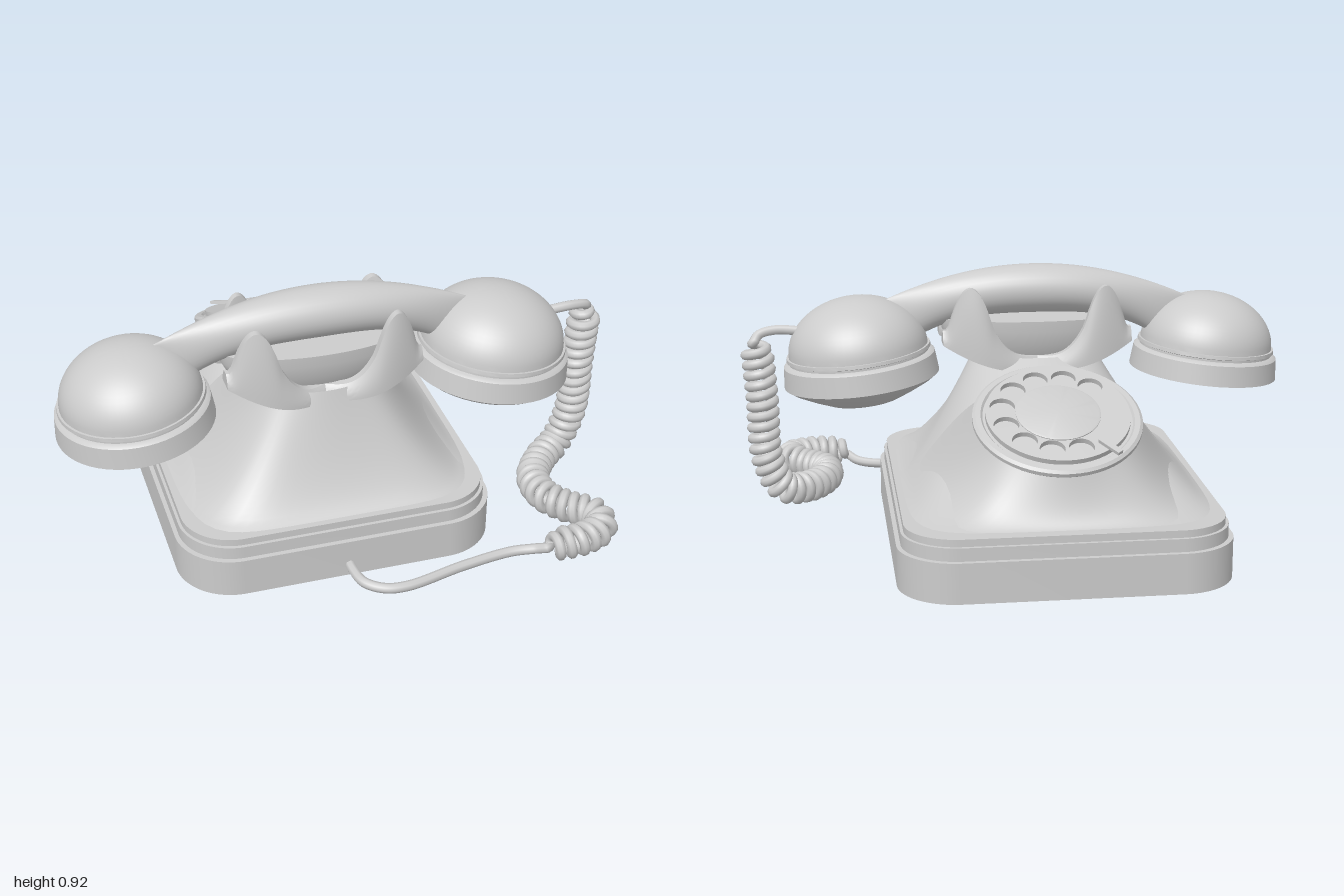
import * as THREE from 'three';
import { toCreasedNormals } from 'three/addons/utils/BufferGeometryUtils.js';

const V = (x, y, z) => new THREE.Vector3(x, y, z);
const XC = -0.085, ZC = -0.105, TILT = 0.42;
const grey = new THREE.MeshStandardMaterial({ color: 0xcccccc });

function add(parent, name, geometry, crease) {
  const mesh = new THREE.Mesh(crease ? toCreasedNormals(geometry, crease) : geometry, grey);
  mesh.name = name;
  parent.add(mesh);
  return mesh;
}

// Skin over closed rings: point(t, angle) for t = 0..1
function loft(point, levels, sides) {
  const pos = [], index = [];
  for (let i = 0; i <= levels; i++) {
    for (let j = 0; j < sides; j++) {
      pos.push(...point(i / levels, (j / sides) * Math.PI * 2).toArray());
      if (i === levels) continue;
      const a = i * sides + j, b = i * sides + ((j + 1) % sides);
      index.push(a, a + sides, b, b, a + sides, b + sides);
    }
  }
  const g = new THREE.BufferGeometry();
  g.setAttribute('position', new THREE.Float32BufferAttribute(pos, 3));
  g.setIndex(index);
  g.computeVertexNormals();
  return g;
}

const lathe = (pts, n = 56) => new THREE.LatheGeometry(pts.map(p => new THREE.Vector2(...p)), n);

// Flat rounded slab between two heights
function slab(w, d, r, y0, y1) {
  const s = new THREE.Shape(), a = w / 2 - r, b = d / 2 - r;
  s.absarc(a, b, r, 0, Math.PI / 2);
  s.absarc(-a, b, r, Math.PI / 2, Math.PI);
  s.absarc(-a, -b, r, Math.PI, Math.PI * 1.5);
  s.absarc(a, -b, r, Math.PI * 1.5, Math.PI * 2);
  return new THREE.ExtrudeGeometry(s, { depth: y1 - y0, bevelEnabled: false, curveSegments: 12 })
    .rotateX(-Math.PI / 2).translate(XC, y0, ZC);
}

// Rounded footprint of the body on top of the plinth
function footprint(angle) {
  const c = Math.cos(angle), s = Math.sin(angle);
  const r = (Math.abs(c / 0.535) ** 6 + Math.abs(s / 0.67) ** 6) ** (-1 / 6);
  return V(XC + r * c, 0.2, ZC + r * s);
}

function body(parent) {
  add(parent, 'plinth', slab(1.13, 1.41, 0.2, 0, 0.14), 0.5);
  add(parent, 'plinthStep', slab(1.1, 1.375, 0.19, 0.14, 0.185), 0.5);
  add(parent, 'plinthTrim', slab(1.08, 1.35, 0.18, 0.185, 0.21), 0.5);
  // flared column under the cradle
  add(parent, 'cradleColumn', loft((t, a) => {
    const p = footprint(a), s = t ** (0.75 - 0.13 * Math.max(0, Math.sin(a)));
    const q = V(XC + 0.225 * Math.cos(a), 0.6, 0.2 + 0.15 * Math.sin(a));
    return V(p.x + (q.x - p.x) * s, p.y + (q.y - p.y) * t, p.z + (q.z - p.z) * s);
  }, 24, 96));
  // flared mount sweeping up to the tilted dial
  add(parent, 'dialMount', loft((t, a) => {
    const p = footprint(a), r = 0.275 * Math.sin(a);
    const s = t ** (0.75 - 0.4 * Math.max(0, -Math.sin(a)));
    const q = V(XC + 0.275 * Math.cos(a), 0.495 + r * Math.sin(TILT), -0.41 + r * Math.cos(TILT));
    return V(p.x + (q.x - p.x) * s, p.y + (q.y - p.y) * t, p.z + (q.z - p.z) * s);
  }, 24, 96));
}

function dial(parent) {
  const g = new THREE.Group();
  g.name = 'dial';
  g.position.set(XC, 0.495, -0.41);
  g.rotation.x = -TILT;
  add(g, 'dialPlate', lathe([[0, -0.015], [0.28, -0.015], [0.29, -0.005], [0.29, 0.008],
    [0.28, 0.016], [0.262, 0.016], [0.255, 0.008], [0, 0.008]]), 0.5);
  // finger wheel with nine holes
  const s = new THREE.Shape();
  s.absarc(0, 0, 0.247, 0, Math.PI * 2);
  for (let i = 0; i < 9; i++) {
    const a = THREE.MathUtils.degToRad(-107 + 30 * i), h = new THREE.Path();
    h.absarc(0.19 * Math.cos(a), 0.19 * Math.sin(a), 0.043, 0, Math.PI * 2, true);
    s.holes.push(h);
  }
  add(g, 'fingerWheel', new THREE.ExtrudeGeometry(s, { depth: 0.018, bevelEnabled: false, curveSegments: 28 })
    .rotateX(Math.PI / 2).translate(0, 0.03, 0), 0.5);
  add(g, 'dialCentre', lathe([[0.145, 0.025], [0.145, 0.033], [0.138, 0.036], [0, 0.036]]), 0.5);
  const stop = add(g, 'fingerStop', new THREE.BoxGeometry(0.09, 0.012, 0.022));
  stop.position.set(-0.15, 0.036, -0.19);
  stop.rotation.y = -0.9;
  parent.add(g);
}

function cradle(parent) {
  const g = new THREE.Group();
  g.name = 'cradle';
  g.position.set(XC, 0, 0.2);
  add(g, 'cradleBowl', lathe([[0, 0.54], [0.2, 0.55], [0.26, 0.59], [0.315, 0.64],
    [0.34, 0.69], [0.345, 0.73], [0, 0.73]]).scale(1, 1, 0.38), 0.6);
  // curved lip with a dip in the middle and a horn at each side
  const lip = new THREE.BoxGeometry(0.69, 1, 1, 64, 8, 2), p = lip.attributes.position;
  for (let i = 0; i < p.count; i++) {
    const x = p.getX(i), d = Math.abs(x), v = p.getY(i) + 0.5;
    const top = d < 0.17 ? 0.6 + 0.125 * (d / 0.17) ** 3
      : Math.max(0.7, 0.86 - 0.15 * ((d - 0.245) / 0.08) ** 2);
    const bottom = 0.55 + 0.1 * (d / 0.345) ** 2;
    const z = 0.09 + 0.055 * Math.sin((Math.PI * d) / 0.345);
    p.setXYZ(i, x, bottom + (top - bottom) * v, z + p.getZ(i) * 0.075 * (1 - 0.65 * v * v));
  }
  lip.computeVertexNormals();
  add(g, 'frontLip', lip, 0.7);
  add(g, 'rearLip', lip, 0.7).rotation.y = Math.PI;
  parent.add(g);
}

function handset(parent) {
  const g = new THREE.Group();
  g.name = 'handset';
  // arched grip, narrowing to both ends
  add(g, 'grip', loft((t, a) => {
    const d = (t * 2 - 1) * 0.58, k = Math.abs(d) / 0.58;
    const top = 0.92 - 0.135 * k * k, bottom = 0.742 - 0.2 * k ** 3;
    const w = 0.092 * (1 - k * k) + 0.003;
    return V(XC + d, (top + bottom) / 2 + Math.cos(a) * (top - bottom) / 2, 0.2 - w * Math.sin(a));
  }, 40, 32));
  // cups: rim band, groove and dome above a given underside
  const cup = (name, x, y, tilt, r, h, under) => {
    const pts = [...under, [r, 0], [r - 0.008, 0.075], [r - 0.018, 0.083], [r - 0.028, 0.085],
      [r - 0.028, 0.093], [r - 0.02, 0.096], [r - 0.022, 0.108]];
    for (let i = 0; i <= 16; i++) {
      const a = (i / 16) * Math.PI / 2;
      pts.push([(r - 0.03) * Math.cos(a), 0.108 + (h - 0.108) * Math.sin(a)]);
    }
    const m = add(g, name, lathe(pts), 0.5);
    m.position.set(x, y, 0.2);
    m.rotation.z = tilt;
  };
  cup('earpiece', -0.725, 0.502, 0.1, 0.275, 0.298,
    [[0, 0.025], [0.16, 0.025], [0.23, 0.012], [0.245, 0]]);
  cup('mouthpiece', 0.55, 0.512, -0.105, 0.285, 0.303,
    [[0, -0.092], [0.09, -0.09], [0.14, -0.078], [0.2, -0.05], [0.26, -0.018]]);
  parent.add(g);
}

function cord(parent) {
  // plain lead, coil around a guide path, then the end into the mouthpiece
  const pts = [V(-0.08, 0.045, 0.56), V(-0.08, 0.04, 0.62), V(-0.06, 0.03, 0.69), V(0, 0.025, 0.735),
    V(0.08, 0.025, 0.745), V(0.3, 0.03, 0.7), V(0.48, 0.035, 0.68), V(0.56, 0.045, 0.7)];
  const guide = new THREE.CatmullRomCurve3([V(0.6, 0.075, 0.73), V(0.72, 0.08, 0.735), V(0.81, 0.08, 0.69),
    V(0.815, 0.085, 0.62), V(0.75, 0.08, 0.55), V(0.69, 0.085, 0.47), V(0.69, 0.085, 0.36),
    V(0.76, 0.085, 0.25), V(0.85, 0.11, 0.185), V(0.905, 0.23, 0.17), V(0.915, 0.45, 0.17), V(0.93, 0.66, 0.17)]);
  const turns = 36, n = turns * 12, f = guide.computeFrenetFrames(n);
  for (let i = 0; i <= n; i++) {
    const a = (i / 12) * Math.PI * 2, r = 0.043 * Math.min(1, (i + 3) / 12, (n - i + 3) / 12);
    pts.push(guide.getPointAt(i / n)
      .addScaledVector(f.normals[i], r * Math.cos(a))
      .addScaledVector(f.binormals[i], r * Math.sin(a)));
  }
  pts.push(V(0.92, 0.685, 0.185), V(0.86, 0.698, 0.2), V(0.75, 0.69, 0.2));
  const path = new THREE.CatmullRomCurve3(pts);
  path.arcLengthDivisions = 4000;
  add(parent, 'cord', new THREE.TubeGeometry(path, 1200, 0.018, 8));
}

export function createModel() {
  const model = new THREE.Group();
  model.name = 'telephone';
  [body, dial, cradle, handset, cord].forEach(build => build(model));
  return model;
}
